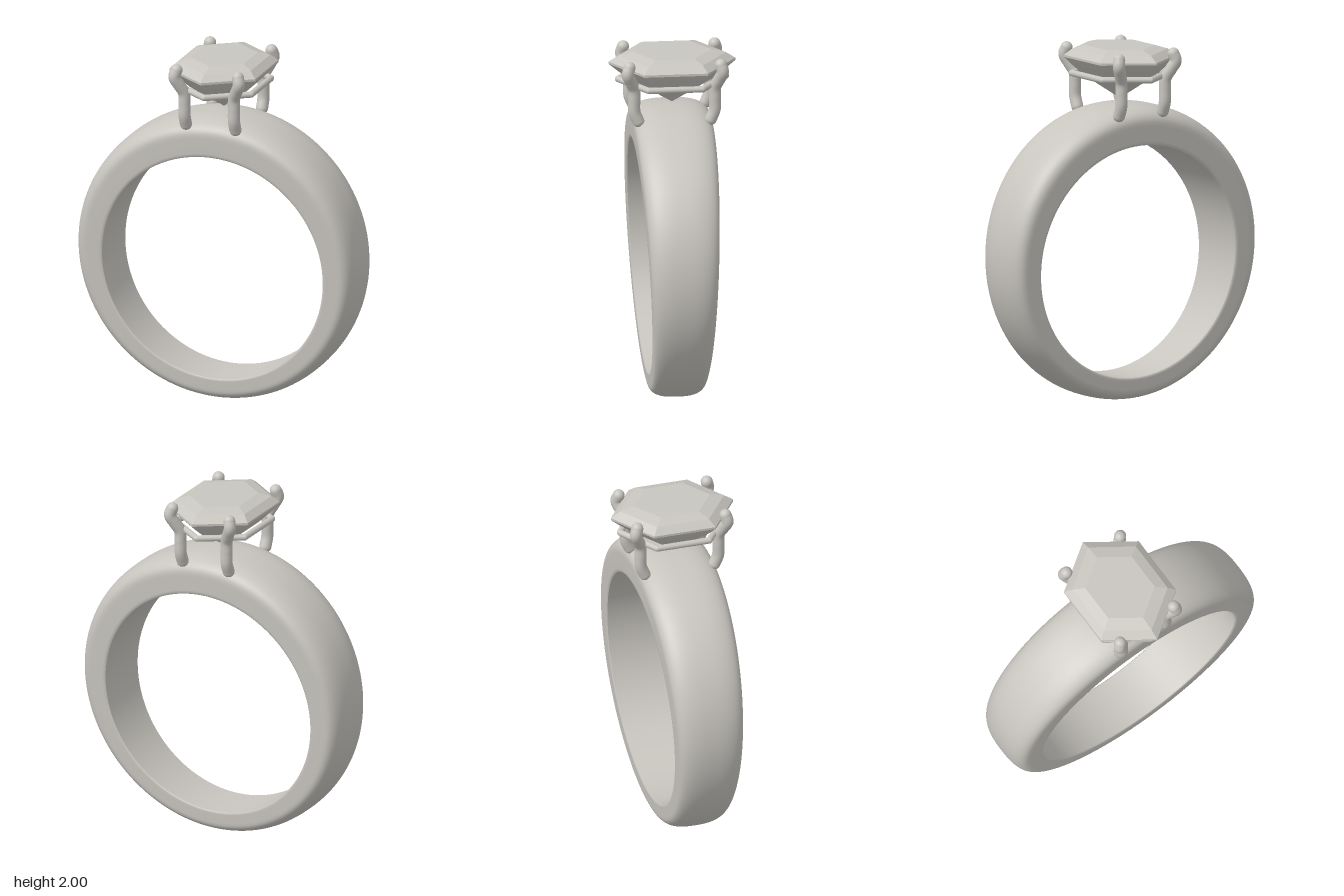
import * as THREE from 'three';

const metal = new THREE.MeshStandardMaterial({ color: 0xc8c5bf });
metal.name = 'pale grey';

function add(parent, name, geometry, position) {
  const mesh = new THREE.Mesh(geometry, metal);
  mesh.name = name;
  if (position) mesh.position.copy(position);
  parent.add(mesh);
  return mesh;
}

// Sweep a profile of [t, s] round the finger: t runs from bore to outer circle,
// s is the fraction of the half width, which grows with height.
function sweepBand(profile, segments = 160) {
  const pos = [], index = [], n = profile.length;
  for (let i = 0; i < segments; i++) {
    const a = (i / segments) * Math.PI * 2;
    const c = Math.cos(a), d = Math.sin(a);
    for (const [t, s] of profile) {
      const x = THREE.MathUtils.lerp(0.66 * c, 0.835 * c, t);
      const y = THREE.MathUtils.lerp(0.795 + 0.66 * d, 0.837 + 0.835 * d, t);
      pos.push(x, y, s * (0.143 + 0.05 * y));
    }
    const row = i * n, next = ((i + 1) % segments) * n;
    for (let j = 0; j < n - 1; j++) {
      index.push(row + j, next + j, row + j + 1, next + j, next + j + 1, row + j + 1);
    }
  }
  const g = new THREE.BufferGeometry();
  g.setAttribute('position', new THREE.Float32BufferAttribute(pos, 3));
  g.setIndex(index);
  g.computeVertexNormals();
  return g;
}

function buildBand() {
  const band = new THREE.Group();
  band.name = 'band';
  // Flat sides with a small inner bevel, then a domed outer face
  const outer = [[0, -0.97], [0.04, -1], [0.1, -1]];
  const steps = 28;
  for (let k = 0; k <= steps; k++) {
    const a = Math.PI * (1 - k / steps);
    const s = Math.sign(Math.cos(a)) * Math.abs(Math.cos(a)) ** (2 / 2.6);
    outer.push([0.5 + 0.5 * Math.abs(Math.sin(a)) ** (2 / 2.6), s]);
  }
  outer.push([0.1, 1], [0.04, 1], [0, 0.97]);
  add(band, 'bandOuter', sweepBand(outer));
  add(band, 'bandBore', sweepBand([[0, 0.97], [0, -0.97]]));
  return band;
}

// Six-sided faceted stone, longer in z
function buildGem() {
  const profile = [
    [0, 1.695], [0.62, 1.82], [0.86, 1.885], [1, 1.927],
    [1, 1.94], [0.85, 1.975], [0.62, 1.995], [0, 1.995],
  ].map(([r, y]) => new THREE.Vector2(r, y));
  const g = new THREE.LatheGeometry(profile, 6).toNonIndexed();
  g.scale(0.257 / Math.sin(Math.PI / 3), 1, 0.355);
  g.computeVertexNormals();
  return g;
}

// Hexagonal wire under the stone
function buildGallery() {
  const wire = new THREE.Group();
  wire.name = 'galleryWire';
  const r = 0.018, up = new THREE.Vector3(0, 1, 0);
  const corner = (i) => {
    const a = (i * Math.PI) / 3;
    return new THREE.Vector3(0.256 * Math.sin(a), 1.837, 0.302 * Math.cos(a));
  };
  for (let i = 0; i < 6; i++) {
    const p = corner(i), q = corner(i + 1), d = q.clone().sub(p);
    const bar = add(wire, 'wireBar', new THREE.CylinderGeometry(r, r, d.length(), 16, 1, true),
      p.clone().add(q).multiplyScalar(0.5));
    bar.quaternion.setFromUnitVectors(up, d.normalize());
    add(wire, 'wireCorner', new THREE.SphereGeometry(r, 16, 12), p);
  }
  return wire;
}

// Claw rising from the band and leaning out round the stone
function buildProng(sx, sz) {
  const prong = new THREE.Group();
  prong.name = 'prong';
  const r = 0.034;
  const path = [
    [0.148, 1.635, 0.203], [0.148, 1.69, 0.224], [0.148, 1.76, 0.226],
    [0.15, 1.825, 0.228], [0.174, 1.88, 0.25], [0.193, 1.925, 0.266], [0.184, 1.964, 0.256],
  ].map(([x, y, z]) => new THREE.Vector3(x * sx, y, z * sz));
  const curve = new THREE.CatmullRomCurve3(path);
  add(prong, 'prongStem', new THREE.TubeGeometry(curve, 40, r, 16));
  add(prong, 'prongFoot', new THREE.SphereGeometry(r, 16, 12), path[0]);
  add(prong, 'prongTip', new THREE.SphereGeometry(r, 16, 12), path[path.length - 1]);
  return prong;
}

export function createModel() {
  const ring = new THREE.Group();
  ring.name = 'ring';
  ring.add(buildBand());
  add(ring, 'gem', buildGem());
  ring.add(buildGallery());
  for (const sx of [-1, 1]) for (const sz of [-1, 1]) ring.add(buildProng(sx, sz));
  return ring;
}
